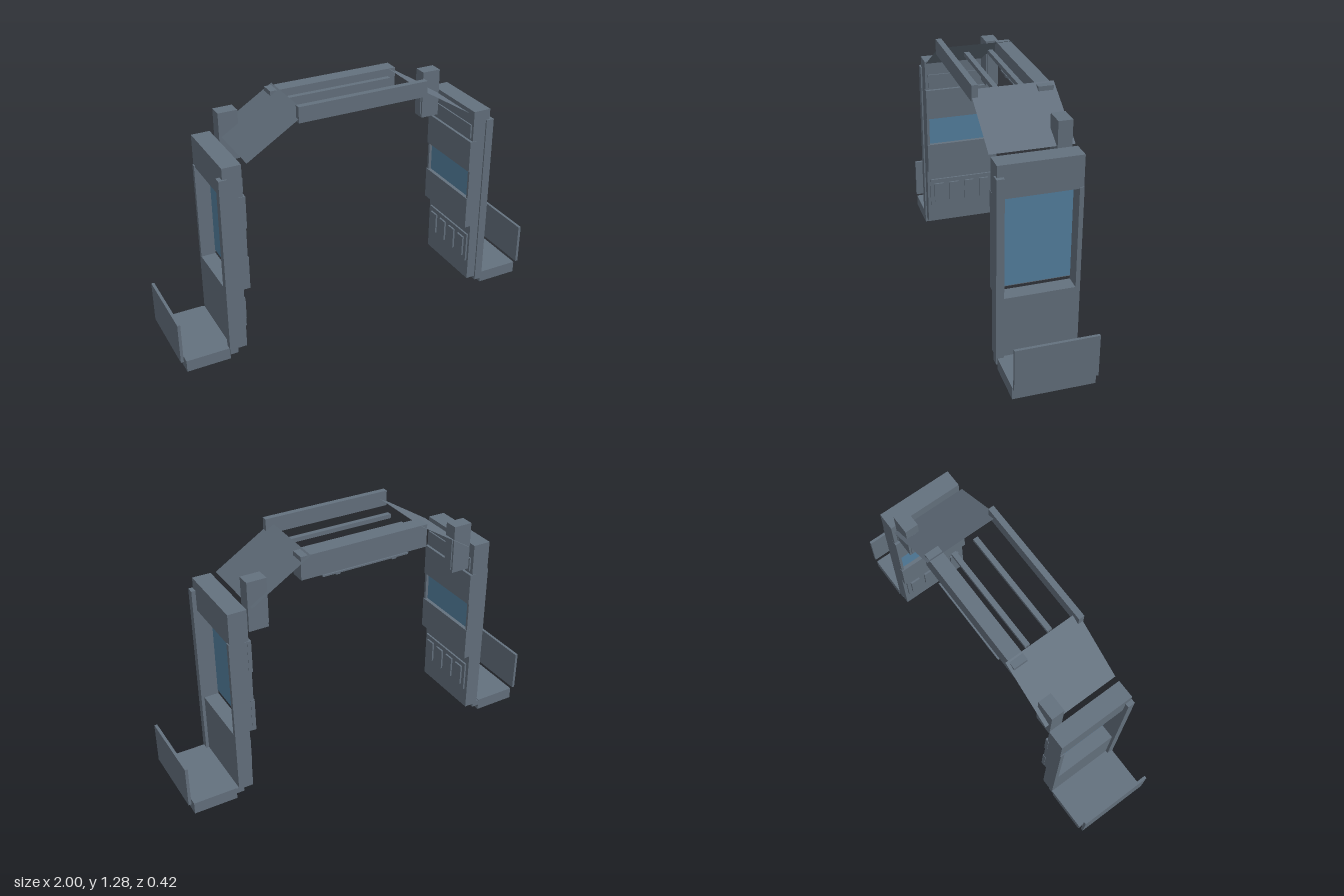
import * as THREE from 'three';

const steel = new THREE.MeshStandardMaterial({ color: 0x64717e });
steel.name = 'slate steel';
const glass = new THREE.MeshStandardMaterial({ color: 0x5581a1 });
glass.name = 'blue glass';
const sheet = new THREE.MeshStandardMaterial({ color: 0x64717e, side: THREE.DoubleSide });
sheet.name = 'slate sheet';

// Box given by its extents on each axis
function block(parent, name, [x0, x1], [y0, y1], [z0, z1], material = steel) {
  const mesh = new THREE.Mesh(new THREE.BoxGeometry(Math.abs(x1 - x0), y1 - y0, z1 - z0), material);
  mesh.position.set((x0 + x1) / 2, (y0 + y1) / 2, (z0 + z1) / 2);
  mesh.name = name;
  parent.add(mesh);
  return mesh;
}

// One leg of the arch; s = 1 for left, -1 for right
function createLeg(s) {
  const leg = new THREE.Group();
  leg.name = s > 0 ? 'leftLeg' : 'rightLeg';
  const add = (name, [a, b], y, z, m) => block(leg, name, [s * a, s * b], y, z, m);

  // Foot and outer guard
  add('foot', [0.745, 0.972], [0, 0.063], [-0.205, 0.2]);
  add('guardPlate', [0.985, 1], [0.065, 0.285], [-0.205, 0.2]);

  // Lower block, uprights and cap
  add('lowerBlock', [0.655, 0.732], [0.05, 0.38], [-0.205, 0.2]);
  add('footStep', [0.705, 0.745], [0.03, 0.06], [-0.205, 0.2]);
  add('frontUpright', [0.655, 0.71], [0.38, 0.9], [0.17, 0.2]);
  add('frontPost', [0.705, 0.748], [0.03, 1], [0.17, 0.208]);
  add('backUpright', [0.655, 0.732], [0.38, 0.9], [-0.205, -0.183]);
  add('cap', [0.632, 0.727], [0.892, 1.057], [-0.205, 0.2]);
  add('capPanel', [0.624, 0.632], [0.905, 0.98], [-0.185, 0.185]);

  // Window with inner panels above and below the visible strip
  add('windowPane', [0.64, 0.657], [0.4, 0.89], [-0.19, 0.19], glass);
  add('lowerPanel', [0.62, 0.64], [0.385, 0.56], [-0.207, 0.2]);
  add('upperPanel', [0.62, 0.64], [0.72, 0.89], [-0.207, 0.2]);
  for (const z of [-0.198, 0.193]) {
    add('windowRim', [0.625, 0.655], [0.385, 0.89], [z - 0.007, z + 0.007]);
  }

  // Vent plate with four raised slats
  add('ventPlate', [0.645, 0.655], [0.16, 0.325], [-0.185, 0.185]);
  for (let i = 0; i < 4; i++) {
    const z = (i - 1.5) * 0.09;
    add('ventSlat', [0.635, 0.645], [0.185, 0.3], [z - 0.028, z + 0.028]);
  }

  // Lamp housing beside the cap
  add('lampHousing', [0.517, 0.617], [0.925, 1.18], [-0.185, -0.115]);
  add('lampFace', [0.511, 0.517], [0.94, 1.11], [-0.175, -0.125]);

  // Sloping roof sheet
  const slope = Math.atan2(0.19, 0.305);
  const roof = new THREE.Mesh(
    new THREE.PlaneGeometry(Math.hypot(0.305, 0.19), 0.405).rotateX(-Math.PI / 2), sheet);
  roof.rotation.z = -s * slope;
  roof.position.set(s * 0.4525, 1.15, -0.0025);
  roof.name = 'roofSheet';
  leg.add(roof);
  return leg;
}

export function createModel() {
  const model = new THREE.Group();
  model.name = 'archGate';
  for (const s of [1, -1]) model.add(createLeg(s));

  // Top span: front and back beams with two rods between
  const span = new THREE.Group();
  span.name = 'topSpan';
  block(span, 'frontBeam', [-0.342, 0.342], [1.2, 1.28], [0.173, 0.203]);
  block(span, 'backBeam', [-0.345, 0.345], [1.12, 1.24], [-0.19, -0.115]);
  for (const z of [-0.07, 0.055]) {
    block(span, 'rod', [-0.285, 0.285], [1.193, 1.215], [z - 0.013, z + 0.013]);
  }
  // Plate and two studs under the back beam
  block(span, 'beamPlate', [-0.235, 0.235], [1.112, 1.12], [-0.198, -0.112]);
  for (const x of [-0.155, 0.155]) {
    block(span, 'beamStud', [x - 0.012, x + 0.012], [1.106, 1.112], [-0.198, -0.112]);
  }
  model.add(span);
  return model;
}
